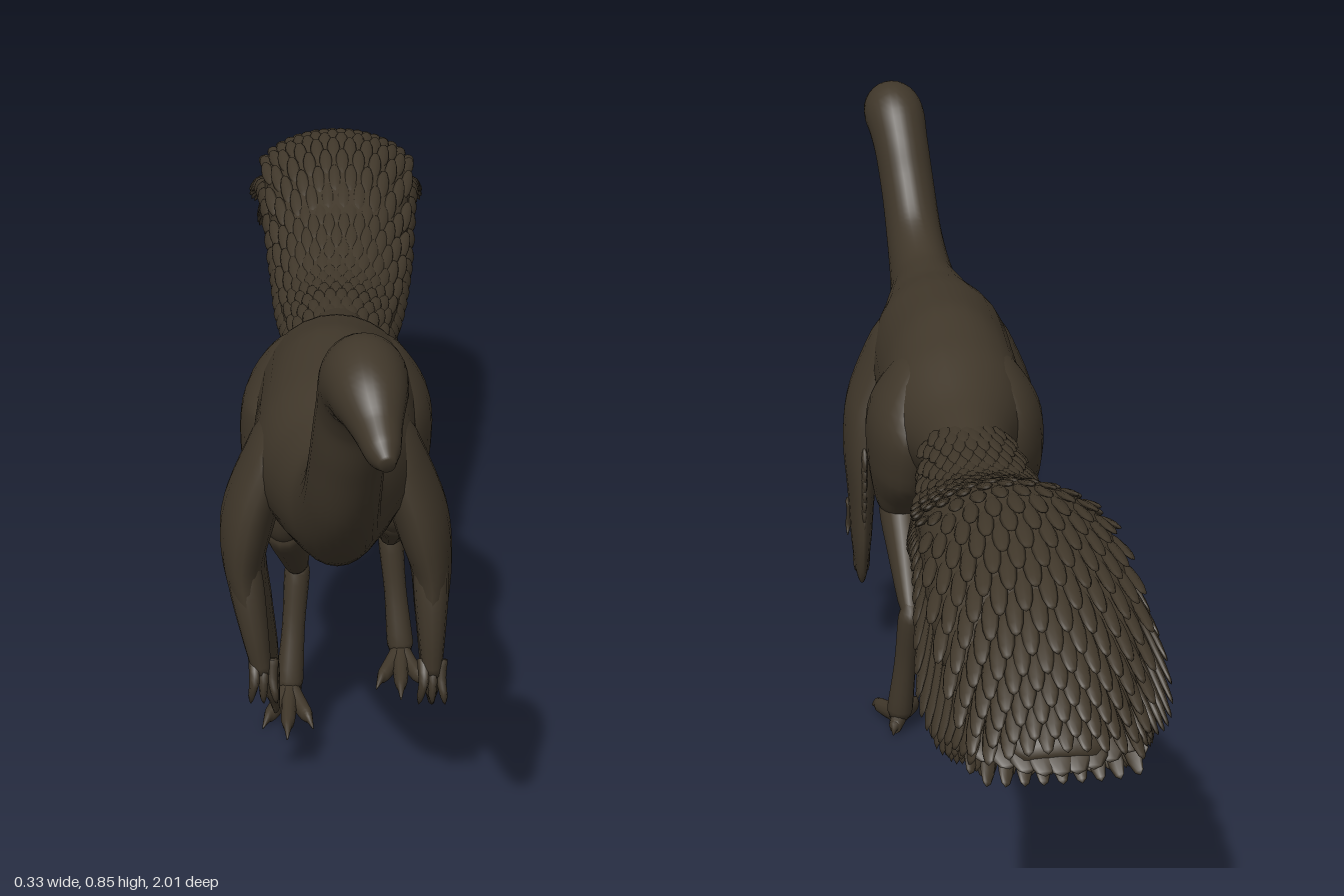
import * as THREE from 'three';
import { mergeGeometries } from 'three/addons/utils/BufferGeometryUtils.js';

const V = (x, y, z) => new THREE.Vector3(x, y, z);
const material = new THREE.MeshStandardMaterial({ color: 0x40372a, roughness: 0.9 });

function mesh(name, geometry) {
  const m = new THREE.Mesh(geometry, material);
  m.name = name;
  return m;
}

// Smooth path and size curves; stations are [x, y, z, halfWidth, halfDepth, sag]
function makeCurves(stations) {
  return {
    path: new THREE.CatmullRomCurve3(stations.map(s => V(s[0], s[1], s[2]))),
    size: new THREE.CatmullRomCurve3(stations.map(s => V(s[3], s[4], s[5] || 0))),
  };
}

// Frame on the path: side stays close to the x axis
function frameAt({ path, size }, t) {
  const T = path.getTangent(t);
  const S = V(1, 0, 0).addScaledVector(T, -T.x).normalize();
  return { p: path.getPoint(t), r: size.getPoint(t), T, S, U: T.clone().cross(S) };
}

// Closed skin swept along the stations; boxy below 1 flattens the oval's top and bottom
function loft(stations, rows = 24, sides = 20, boxy = 1) {
  const curves = makeCurves(stations), pos = [], index = [];
  for (let i = -1; i <= rows + 1; i++) {
    const f = frameAt(curves, Math.min(1, Math.max(0, i / rows)));
    const k = i < 0 || i > rows ? 0 : 1;
    for (let j = 0; j < sides; j++) {
      const a = j / sides * Math.PI * 2, c = Math.cos(a);
      const s = Math.sign(Math.sin(a)) * Math.abs(Math.sin(a)) ** boxy;
      const v = f.p.clone().addScaledVector(f.S, k * f.r.x * c)
        .addScaledVector(f.U, k * (f.r.y * s - f.r.z * c * c));
      pos.push(v.x, v.y, v.z);
    }
  }
  for (let i = 0; i < rows + 2; i++) for (let j = 0; j < sides; j++) {
    const n = (j + 1) % sides, a = i * sides + j, b = i * sides + n;
    index.push(a, b, a + sides, b, b + sides, a + sides);
  }
  const g = new THREE.BufferGeometry();
  g.setAttribute('position', new THREE.Float32BufferAttribute(pos, 3));
  g.setIndex(index);
  g.computeVertexNormals();
  return g;
}

// One flat leaf-shaped feather, rooted at p and pointing along dir
function feather(p, dir, normal, length, width) {
  const z = dir.clone().normalize();
  const x = normal.clone().cross(z).normalize();
  const y = z.clone().cross(x);
  return new THREE.SphereGeometry(1, 8, 6).rotateX(Math.PI / 2).translate(0, 0, 0.8)
    .scale(width, 0.005, length / 2)
    .applyMatrix4(new THREE.Matrix4().makeBasis(x, y, z).setPosition(p));
}

// Tail: broad fan covered in overlapping feathers
function makeTail() {
  const boxy = 0.7;
  // swept from the tip toward +z so that U points up
  const stations = [
    [-0.015, 0.435, -0.975, 0.045, 0.012, 0.003], [-0.013, 0.465, -0.93, 0.088, 0.034, 0.01],
    [-0.012, 0.505, -0.86, 0.115, 0.05, 0.016], [-0.01, 0.553, -0.75, 0.128, 0.06, 0.022],
    [-0.006, 0.57, -0.6, 0.122, 0.06, 0.02], [0, 0.515, -0.4, 0.107, 0.056, 0.016],
    [0, 0.48, -0.25, 0.092, 0.054, 0.01], [0, 0.476, -0.1, 0.07, 0.059, 0.004],
    [0, 0.475, 0.06, 0.06, 0.06, 0]];
  const curves = makeCurves(stations), feathers = [], rows = 30;
  for (let i = 0; i < rows; i++) {
    const t = 0.13 + 0.82 * i / rows;
    const f = frameAt(curves, t), back = f.T.clone().negate();
    // cover feathers above and below
    for (const face of [1, -1]) for (let j = -4; j <= 4; j++) {
      const u = (j + (i % 2 ? 0.25 : -0.25)) / 4.6;
      const n = f.U.clone().multiplyScalar(face).addScaledVector(f.S, u * 0.7);
      const p = f.p.clone().addScaledVector(f.S, f.r.x * u)
        .addScaledVector(f.U, face * (f.r.y * (1 - u * u) ** (boxy / 2) - 0.003) - f.r.z * u * u);
      const d = back.clone().addScaledVector(f.S, u * 0.2).addScaledVector(f.U, face * 0.03);
      feathers.push(feather(p, d, n, 0.08, 0.011));
    }
    // margin feathers hang from both edges, longest before the tip
    const hang = 0.05 + 0.075 * Math.exp(-(((t - 0.33) / 0.12) ** 2));
    for (const s of [1, -1]) {
      const n = f.U.clone().multiplyScalar(0.4).addScaledVector(f.S, s);
      for (const drop of [0.15, 0.6, 1.1]) {
        const p = f.p.clone().addScaledVector(f.S, s * f.r.x * (1.02 - drop * 0.1))
          .addScaledVector(f.U, -f.r.z - f.r.y * drop * 0.5);
        const d = back.clone().addScaledVector(f.S, s * (0.25 - drop * 0.15))
          .addScaledVector(f.U, -drop * Math.min(1, t * 3.5));
        feathers.push(feather(p, d, n, hang, 0.015));
      }
    }
  }
  // feathers fanning out around the tip
  const tip = frameAt(curves, 0.12);
  for (let j = -4; j <= 4; j++) {
    const u = j / 4;
    const p = tip.p.clone().addScaledVector(tip.S, tip.r.x * u).addScaledVector(tip.U, -tip.r.z * u * u);
    const d = tip.T.clone().negate().addScaledVector(tip.S, -u * 0.15);
    feathers.push(feather(p, d, tip.U, 0.085 - 0.035 * u * u, 0.02));
  }
  const g = new THREE.Group();
  g.name = 'tail';
  g.add(mesh('tailCore', loft(stations, 40, 32, boxy)), mesh('tailFeathers', mergeGeometries(feathers)));
  return g;
}

// Arm: shoulder and folded wing, trailing feathers, clawed fingers
function makeArm(s, shiftX, tipY) {
  const g = new THREE.Group();
  g.name = s > 0 ? 'leftArm' : 'rightArm';
  const X = y => s * 0.13 + shiftX * Math.max(0, 0.4 - y);
  const wing = [[s * 0.055, 0.59, 0.4, 0.012, 0.04], [s * 0.082, 0.52, 0.4, 0.035, 0.08],
    [s * 0.115, 0.43, 0.402, 0.038, 0.084], [X(0.36), 0.36, 0.395, 0.03, 0.085],
    [X(0.28), 0.28, 0.39, 0.023, 0.085], [X(0.2), 0.2, 0.38, 0.017, 0.072],
    [X(0.15), 0.15, 0.38, 0.011, 0.055], [X(tipY), tipY, 0.385, 0.005, 0.028]];
  g.add(mesh('wing', loft(wing, 30)));
  // serrated trailing and lower edge
  const feathers = [];
  for (let i = 0; i < 12; i++) {
    const y = 0.37 - i * 0.0175, z = 0.318 + 0.03 * (i / 11) ** 3;
    for (const side of [-1, 0, 1])
      feathers.push(feather(V(X(y) + side * 0.009, y, z + Math.abs(side) * 0.025),
        V(0, -1, -0.45 + i * 0.035), V(s, 0, 0), 0.045, 0.013));
  }
  g.add(mesh('wingFeathers', mergeGeometries(feathers)));
  // forearm along the front edge
  g.add(mesh('forearm', loft([[X(0.4), 0.4, 0.43, 0.02, 0.025], [X(0.34), 0.34, 0.445, 0.024, 0.03],
    [X(0.27), 0.27, 0.458, 0.019, 0.024], [X(0.21), 0.21, 0.463, 0.013, 0.016]], 14, 12)));
  for (let i = -1; i <= 1; i++) {
    const x = X(0.2) + i * 0.012;
    g.add(mesh('finger', loft([[x, 0.23, 0.46, 0.009, 0.011], [x, 0.205, 0.474 - i * 0.006, 0.007, 0.009],
      [x + i * 0.004, 0.182, 0.476, 0.005, 0.007], [x + i * 0.006, 0.165, 0.466, 0.001, 0.001]], 10, 8)));
  }
  return g;
}

// Leg: joints are given as [x, y, z]
function makeLeg(name, knee, ankle, ball) {
  const g = new THREE.Group();
  g.name = name;
  const s = Math.sign(knee[0]), dz = knee[2] - 0.18;
  const between = (a, b, t, ...r) => [...a.map((v, i) => v + (b[i] - v) * t), ...r];
  // broad drumstick melting into the hip
  g.add(mesh('thigh', loft([[s * 0.035, 0.58, 0.15, 0.015, 0.04], [s * 0.052, 0.545, 0.15, 0.045, 0.085],
    [s * 0.072, 0.475, 0.152, 0.064, 0.128], [s * 0.079, 0.41, 0.16 + dz * 0.5, 0.057, 0.112],
    [knee[0], 0.365, 0.172 + dz, 0.044, 0.075], [knee[0], 0.325, 0.183 + dz, 0.032, 0.046],
    [knee[0], 0.295, 0.18 + dz, 0.014, 0.018]], 30, 24)));
  g.add(mesh('shin', loft([between(knee, ankle, -0.14, 0.014, 0.022), between(knee, ankle, 0.08, 0.034, 0.048),
    between(knee, ankle, 0.5, 0.027, 0.037), between(knee, ankle, 0.9, 0.019, 0.024),
    between(knee, ankle, 1.06, 0.012, 0.012)], 16, 14)));
  g.add(mesh('metatarsus', loft([between(ankle, ball, -0.08, 0.011, 0.011), between(ankle, ball, 0.06, 0.019, 0.023),
    between(ankle, ball, 0.5, 0.017, 0.018), between(ankle, ball, 0.95, 0.02, 0.022),
    between(ankle, ball, 1.06, 0.014, 0.012)], 16, 14)));
  // three front toes and a short rear toe, each tapering to a claw
  for (const [angle, len] of [[-0.4, 0.095], [0, 0.12], [0.4, 0.095], [2.75, 0.032]]) {
    const at = (d, y, w, h) => [ball[0] + Math.sin(angle) * d, y, ball[2] + Math.cos(angle) * d, w, h];
    const toe = [at(0, 0.027, 0.013, 0.017), at(len * 0.35, 0.019, 0.012, 0.014), at(len * 0.7, 0.014, 0.01, 0.012),
      at(len * 0.82, 0.013, 0.006, 0.009), at(len, 0.004, 0.001, 0.001)];
    g.add(mesh('toe', loft(toe, 14, 10)));
  }
  return g;
}

export function createModel() {
  const model = new THREE.Group();
  model.name = 'featheredDinosaur';
  // body, neck, head and snout in one smooth sweep
  model.add(mesh('bodyNeckHead', loft([
    [0, 0.475, -0.1, 0.05, 0.058], [0, 0.482, 0, 0.074, 0.075], [0, 0.487, 0.12, 0.11, 0.116],
    [0, 0.487, 0.25, 0.112, 0.143], [0, 0.505, 0.4, 0.11, 0.122], [0.003, 0.517, 0.52, 0.084, 0.098],
    [0.007, 0.543, 0.63, 0.057, 0.08], [0.014, 0.605, 0.725, 0.048, 0.067], [0.022, 0.69, 0.783, 0.046, 0.057],
    [0.03, 0.754, 0.815, 0.047, 0.054], [0.038, 0.798, 0.853, 0.051, 0.056], [0.046, 0.798, 0.905, 0.044, 0.047],
    [0.055, 0.777, 0.95, 0.028, 0.031], [0.061, 0.763, 0.98, 0.02, 0.023],
    [0.066, 0.756, 0.998, 0.009, 0.01]], 90, 28)));
  model.add(makeTail());
  model.add(makeArm(1, 0.02, 0.128), makeArm(-1, 0.17, 0.115));
  model.add(makeLeg('leftLeg', [0.084, 0.335, 0.175], [0.08, 0.21, 0.015], [0.097, 0.03, 0.043]));
  model.add(makeLeg('rightLeg', [-0.074, 0.33, 0.215], [-0.058, 0.21, 0.125], [-0.07, 0.03, 0.165]));
  return model;
}
